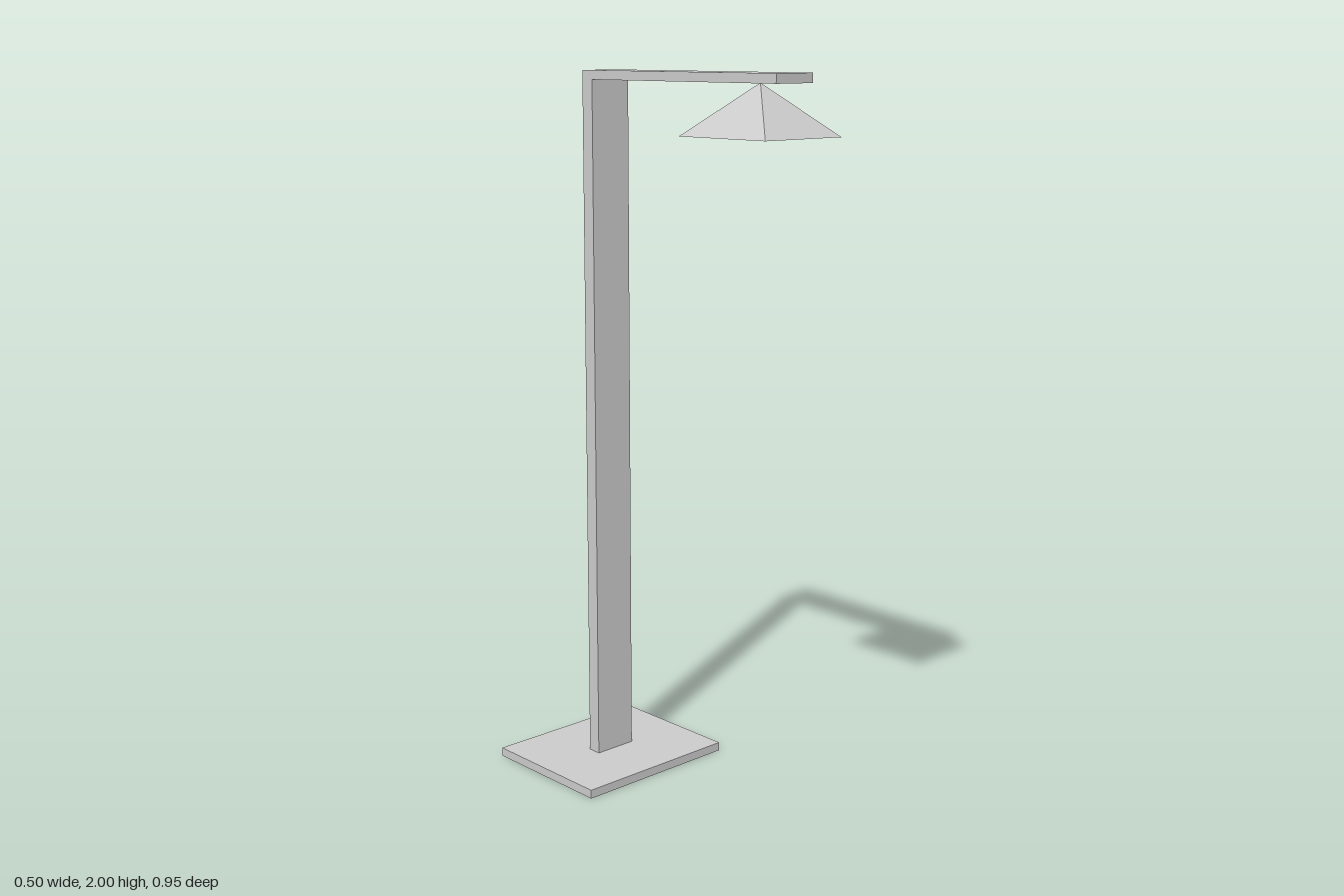
import * as THREE from 'three';

export function createModel() {
  const group = new THREE.Group();
  group.name = 'floorLamp';
  const material = new THREE.MeshStandardMaterial({ color: 0xcccccc, flatShading: true });

  const add = (name, geometry, x, y, z) => {
    const mesh = new THREE.Mesh(geometry, material);
    mesh.name = name;
    mesh.position.set(x, y, z);
    group.add(mesh);
  };

  // Flat rectangular foot
  add('base', new THREE.BoxGeometry(0.502, 0.025, 0.41), 0, 0.0125, -0.271);

  // Post and arm: flat bars meeting at the top rear corner
  add('post', new THREE.BoxGeometry(0.13, 1.95, 0.04), 0, 1.0, -0.271);
  add('arm', new THREE.BoxGeometry(0.13, 0.025, 0.73), 0, 1.9875, 0.074);

  // Closed four-sided pyramid shade, its tip touching the arm
  const shade = new THREE.ConeGeometry(Math.SQRT1_2, 1, 4);
  shade.rotateY(Math.PI / 4);
  shade.scale(0.273, 0.133, 0.304);
  add('shade', shade, -0.002, 1.9085, 0.324);

  return group;
}
